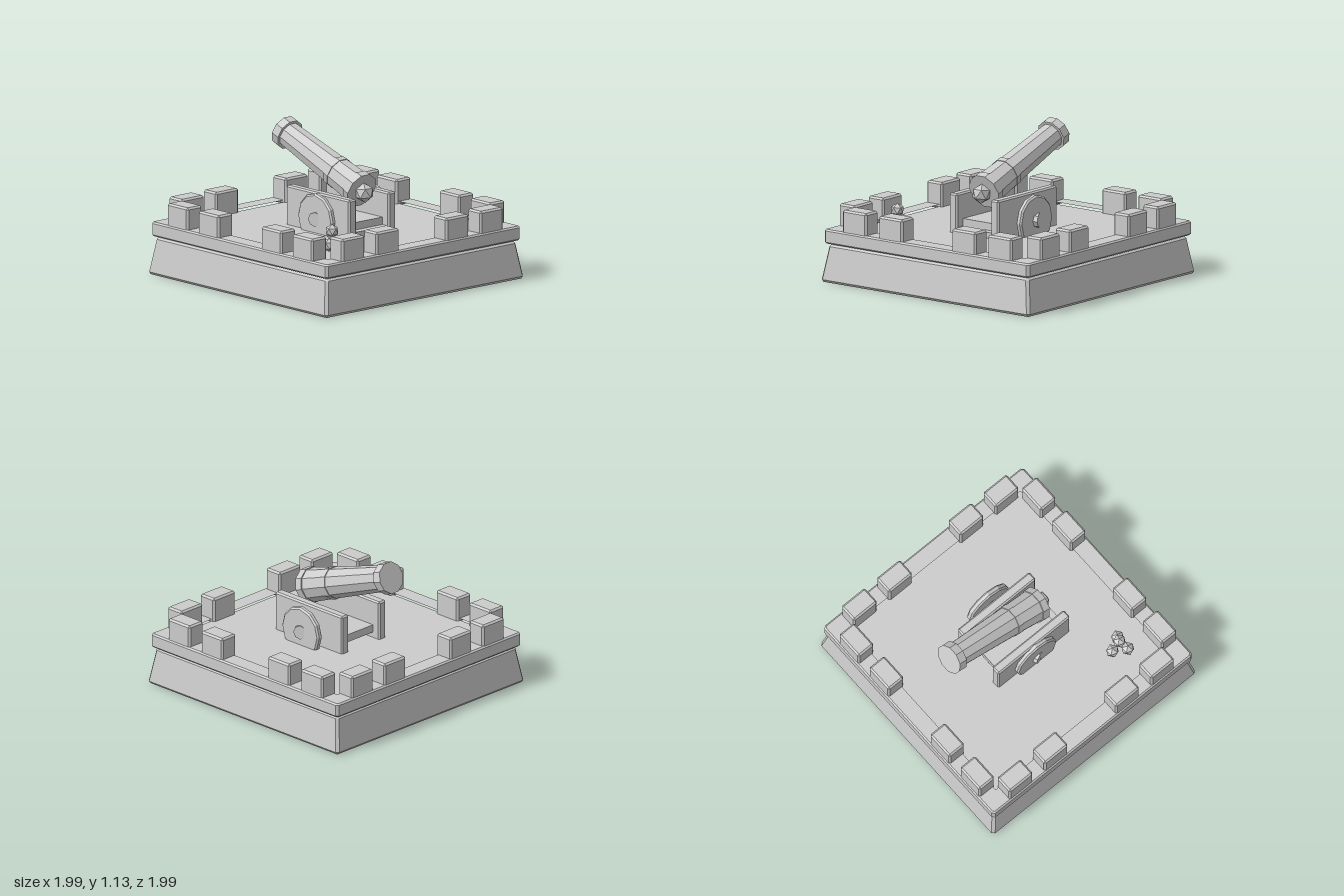
import * as THREE from 'three';
import { ConvexGeometry } from 'three/addons/geometries/ConvexGeometry.js';

const material = new THREE.MeshStandardMaterial({ color: 0xcccccc, flatShading: true });

function add(parent, name, geometry, x = 0, y = 0, z = 0) {
  const mesh = new THREE.Mesh(geometry, material);
  mesh.name = name;
  mesh.position.set(x, y, z);
  parent.add(mesh);
  return mesh;
}

// Box with chamfered edges between two corners; inset narrows the top
function chamferBox(x0, x1, y0, y1, z0, z1, b, inset = 0) {
  const points = [];
  const h = [(x1 - x0) / 2, (y1 - y0) / 2, (z1 - z0) / 2];
  const c = [(x0 + x1) / 2, (y0 + y1) / 2, (z0 + z1) / 2];
  for (const sx of [-1, 1]) for (const sy of [-1, 1]) for (const sz of [-1, 1]) {
    for (let face = 0; face < 3; face++) {
      const p = [sx, sy, sz].map((s, i) => s * (h[i] - (i === face ? 0 : b)));
      const shrink = inset * (p[1] + h[1]) / (2 * h[1]);
      p[0] -= sx * shrink;
      p[2] -= sz * shrink;
      points.push(new THREE.Vector3(p[0] + c[0], p[1] + c[1], p[2] + c[2]));
    }
  }
  return new ConvexGeometry(points);
}

function lathe(profile, sides, start = 0) {
  return new THREE.LatheGeometry(profile.map(p => new THREE.Vector2(...p)), sides, start);
}

function createPlatform() {
  const g = new THREE.Group();
  g.name = 'platform';
  add(g, 'slopedBase', chamferBox(-1, 1, 0, 0.29, -1, 1, 0.02, 0.047));
  add(g, 'floor', new THREE.BoxGeometry(1.7, 0.1, 1.7), 0, 0.335, 0);

  // Low wall: square ring with chamfered edges
  const square = (s, c) => [[s - c, s], [s, s - c], [s, c - s], [s - c, -s],
    [c - s, -s], [-s, c - s], [-s, s - c], [c - s, s]].map(p => new THREE.Vector2(...p));
  const shape = new THREE.Shape(square(0.968, 0.012));
  shape.holes.push(new THREE.Path(square(0.842, 0.012)));
  const ring = new THREE.ExtrudeGeometry(shape, {
    depth: 0.086, bevelThickness: 0.012, bevelSize: 0.012, bevelSegments: 1,
  });
  ring.rotateX(-Math.PI / 2);
  add(g, 'lowWall', ring, 0, 0.305, 0);

  // Four merlons along each side
  for (let side = 0; side < 4; side++) {
    const wall = new THREE.Group();
    wall.name = 'battlement';
    wall.rotation.y = side * Math.PI / 2;
    for (const [a, b] of [[-0.81, -0.58], [-0.465, -0.235], [0.235, 0.465], [0.58, 0.81]]) {
      add(wall, 'merlon', chamferBox(a, b, 0.37, 0.57, 0.82, 0.97, 0.014));
    }
    g.add(wall);
  }
  return g;
}

function createCarriage() {
  const g = new THREE.Group();
  g.name = 'carriage';
  for (const s of [-1, 1]) {
    add(g, 'cheek', chamferBox(s * 0.198 - 0.038, s * 0.198 + 0.038, 0.37, 0.685, -0.295, 0.41, 0.012));
  }
  add(g, 'bed', new THREE.BoxGeometry(0.34, 0.06, 0.57), 0, 0.457, 0.055);
  add(g, 'crossBar', new THREE.BoxGeometry(0.34, 0.05, 0.06), 0, 0.405, 0.37);

  // Solid wheels, partly sunk into the floor
  const wheel = lathe([[0, -0.025], [0.18, -0.025], [0.193, -0.013],
    [0.193, 0.013], [0.18, 0.025], [0, 0.025]], 12);
  const hub = new THREE.CylinderGeometry(0.055, 0.055, 0.08, 8);
  for (const [x, s] of [[-0.245, -1], [0.3, 1]]) {
    add(g, 'wheel', wheel, x, 0.49, 0.06).rotation.z = Math.PI / 2;
    add(g, 'hub', hub, x, 0.49, 0.06).rotation.set(Math.PI / 8, 0, Math.PI / 2, 'ZXY');
  }
  return g;
}

function createBarrel() {
  const g = new THREE.Group();
  g.name = 'barrel';
  g.position.set(0, 0.705, 0.285);
  g.rotation.x = -THREE.MathUtils.degToRad(70);
  // Tapered tube with breech band, middle band and muzzle ring
  add(g, 'barrelTube', lathe([[0, 0], [0.14, 0], [0.138, 0.06], [0.13, 0.06],
    [0.121, 0.26], [0.126, 0.26], [0.125, 0.305], [0.119, 0.305],
    [0.1, 0.85], [0.122, 0.85], [0.122, 0.92], [0, 0.92]], 10, Math.PI / 2));
  const knob = new THREE.IcosahedronGeometry(0.075, 0);
  knob.rotateX(-Math.atan(1.618) + Math.PI);
  add(g, 'breechKnob', knob, 0, -0.035, 0);
  return g;
}

export function createModel() {
  const model = new THREE.Group();
  model.name = 'cannonOnBattlement';
  model.add(createPlatform(), createCarriage(), createBarrel());

  // Small stack of shot
  const shot = new THREE.IcosahedronGeometry(0.052, 0);
  shot.rotateX(-Math.atan(1.618));
  for (const [x, y, z] of [[-0.64, 0.446, 0.63], [-0.52, 0.446, 0.63],
    [-0.58, 0.446, 0.53], [-0.58, 0.54, 0.597]]) {
    add(model, 'shotBall', shot, x, y, z);
  }
  return model;
}
